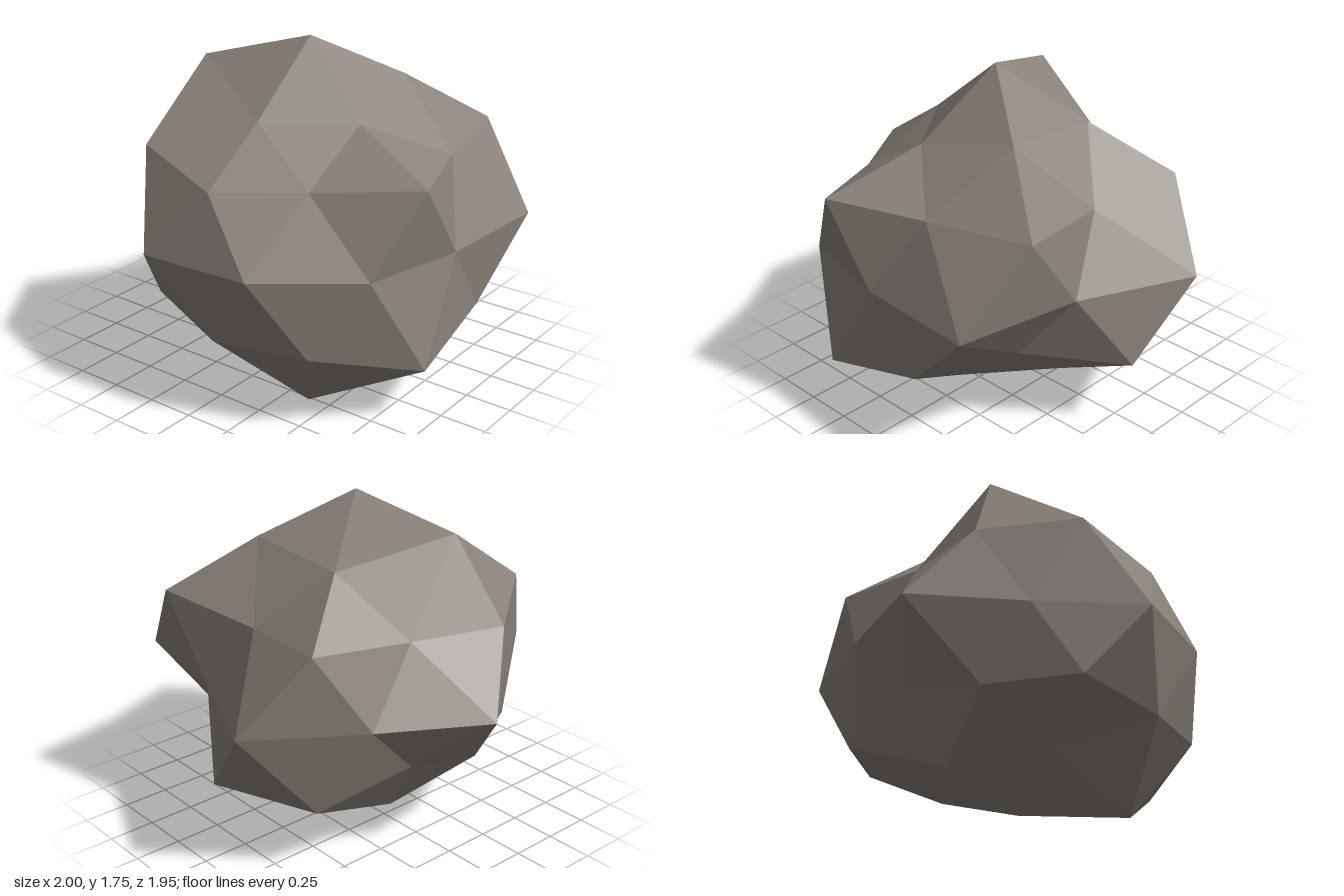
import * as THREE from 'three';

// Radial distances of each ring of a once-subdivided icosahedron (pole up).
const RINGS = {
  tip:    { lat: 58.28, start: 36, step: 72, r: [0.96, 0.8, 0.815, 1.085, 0.89] },
  upper:  { lat: 26.57, start: 36, step: 72, r: [1.105, 1.05, 0.9, 0.953, 1.03] },
  upMid:  { lat: 31.72, start: 72, step: 72, r: [0.875, 0.785, 1.0, 0.79, 0.79] },
  belt:   { lat: 0, start: 18, step: 36, r: [0.83, 1.14, 0.885, 0.936, 0.946, 0.988, 0.8, 1.03, 0.885, 1.115] },
  lower:  { lat: -26.57, start: 0, step: 72, r: [1.065, 1.01, 1.015, 0.907, 0.785] },
  lowMid: { lat: -31.72, start: 36, step: 72, r: [0.77, 1.13, 0.94, 0.85, 1.01] },
  base:   { lat: -58.28, start: 0, step: 72, r: [0.885, 0.865, 1.08, 0.79, 0.875] },
};
const CENTER = new THREE.Vector3(-0.06, 0.8, 0.05);
const SQUASH = 0.87;

// Point on the rock from latitude, angle around y and distance.
function point(lat, angle, r) {
  const a = THREE.MathUtils.degToRad(lat), b = THREE.MathUtils.degToRad(angle);
  return new THREE.Vector3(
    r * Math.cos(a) * Math.cos(b),
    r * Math.sin(a) * SQUASH,
    r * Math.cos(a) * Math.sin(b),
  ).add(CENTER);
}

function ring({ lat, start, step, r }) {
  const points = r.map((d, i) => point(lat, start + step * i, d));
  return (i) => points[i % points.length];
}

function rockGeometry() {
  const [T, U, V, E, L, M, B] = ['tip', 'upper', 'upMid', 'belt', 'lower', 'lowMid', 'base']
    .map((name) => ring(RINGS[name]));
  const top = point(90, 0, 1.09), bottom = point(-90, 0, 0.92);
  const corners = [];
  // One large face split into four by its edge midpoints.
  const split = (a, b, c, ab, bc, ca) =>
    corners.push(a, ab, ca, ab, b, bc, ca, bc, c, ab, bc, ca);

  for (let k = 0; k < 5; k++) {
    const n = k + 1;
    split(top, U(n), U(k), T(n), V(k), T(k));
    split(U(k), L(n), L(k), E(2 * k + 1), M(k), E(2 * k));
    split(L(n), U(k), U(n), E(2 * k + 1), V(k), E(2 * k + 2));
    split(bottom, L(k), L(n), B(k), M(k), B(n));
  }
  const geometry = new THREE.BufferGeometry().setFromPoints(corners);
  geometry.computeVertexNormals();
  return geometry;
}

export function createModel() {
  const stone = new THREE.MeshStandardMaterial({ color: 0x8a827a, flatShading: true });
  stone.name = 'warm grey stone';

  const boulder = new THREE.Mesh(rockGeometry(), stone);
  boulder.name = 'boulder';

  const model = new THREE.Group();
  model.name = 'rock';
  model.add(boulder);
  return model;
}
